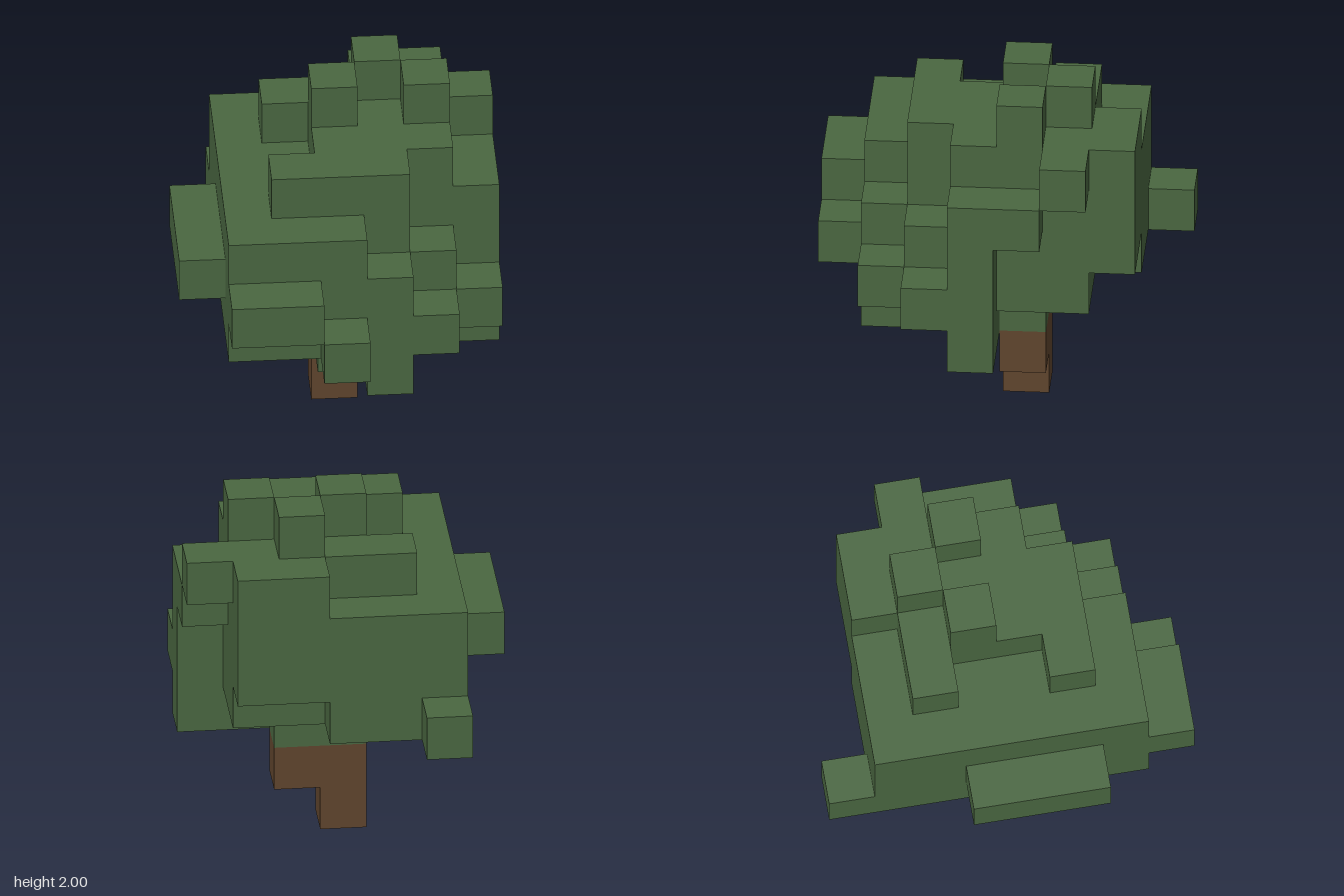
import * as THREE from 'three';
import { mergeGeometries } from 'three/addons/utils/BufferGeometryUtils.js';

const CELL = 0.25;

// Each layer, bottom to top, lists runs of cells: [z row, first x, last x].
const TRUNK = {
  0: [[3, 3, 3]],
  1: [[3, 3, 4]],
};
const LEAVES = {
  2: [[3, 3, 4], [4, 2, 6], [5, 3, 4], [6, 4, 4]],
  3: [[0, 1, 1], [1, 1, 3], [2, 1, 5], [3, 1, 5], [4, 1, 6], [5, 1, 6], [6, 1, 5], [7, 3, 3]],
  4: [[1, 1, 5], [2, 1, 5], [3, 0, 5], [4, 0, 6], [5, 0, 5], [6, 1, 4], [7, 1, 2]],
  5: [[1, 1, 5], [2, 1, 5], [3, 1, 6], [4, 1, 6], [5, 1, 4], [6, 1, 3]],
  6: [[1, 4, 5], [2, 2, 6], [3, 3, 5], [4, 3, 5], [5, 2, 4]],
  7: [[2, 4, 4], [3, 3, 3], [3, 5, 5]],
};

const key = (x, y, z) => `${x},${y},${z}`;

// Expands the runs into single cells
function cellsOf(layers) {
  const cells = [];
  for (const [y, runs] of Object.entries(layers)) {
    for (const [z, first, last] of runs) {
      for (let x = first; x <= last; x++) cells.push([x, Number(y), z]);
    }
  }
  return cells;
}

// The six sides of a cell: outward direction and the turn that faces a plane that way
const SIDES = [
  { d: [0, 0, 1], r: [0, 0] },
  { d: [0, 0, -1], r: [0, Math.PI] },
  { d: [1, 0, 0], r: [0, Math.PI / 2] },
  { d: [-1, 0, 0], r: [0, -Math.PI / 2] },
  { d: [0, 1, 0], r: [-Math.PI / 2, 0] },
  { d: [0, -1, 0], r: [Math.PI / 2, 0] },
];

// Joins only the outer faces of the cells into one shell
function shell(cells, filled) {
  const faces = [];
  for (const [x, y, z] of cells) {
    for (const { d, r } of SIDES) {
      if (filled.has(key(x + d[0], y + d[1], z + d[2]))) continue;
      const face = new THREE.PlaneGeometry(CELL, CELL);
      face.rotateX(r[0]).rotateY(r[1]);
      face.translate(
        (x - 3 + d[0] / 2) * CELL,
        (y + 0.5 + d[1] / 2) * CELL,
        (z - 3.5 + d[2] / 2) * CELL,
      );
      faces.push(face);
    }
  }
  return mergeGeometries(faces);
}

export function createModel() {
  const bark = new THREE.MeshStandardMaterial({ color: 0x60452d });
  bark.name = 'bark brown';
  const leaf = new THREE.MeshStandardMaterial({ color: 0x4a6741 });
  leaf.name = 'leaf green';

  const trunkCells = cellsOf(TRUNK);
  const leafCells = cellsOf(LEAVES);
  const filled = new Set([...trunkCells, ...leafCells].map((c) => key(...c)));

  const tree = new THREE.Group();
  tree.name = 'tree';

  // Stepped trunk
  const trunk = new THREE.Mesh(shell(trunkCells, filled), bark);
  trunk.name = 'trunk';

  // Blocky crown
  const crown = new THREE.Mesh(shell(leafCells, filled), leaf);
  crown.name = 'crown';

  tree.add(trunk, crown);
  return tree;
}
